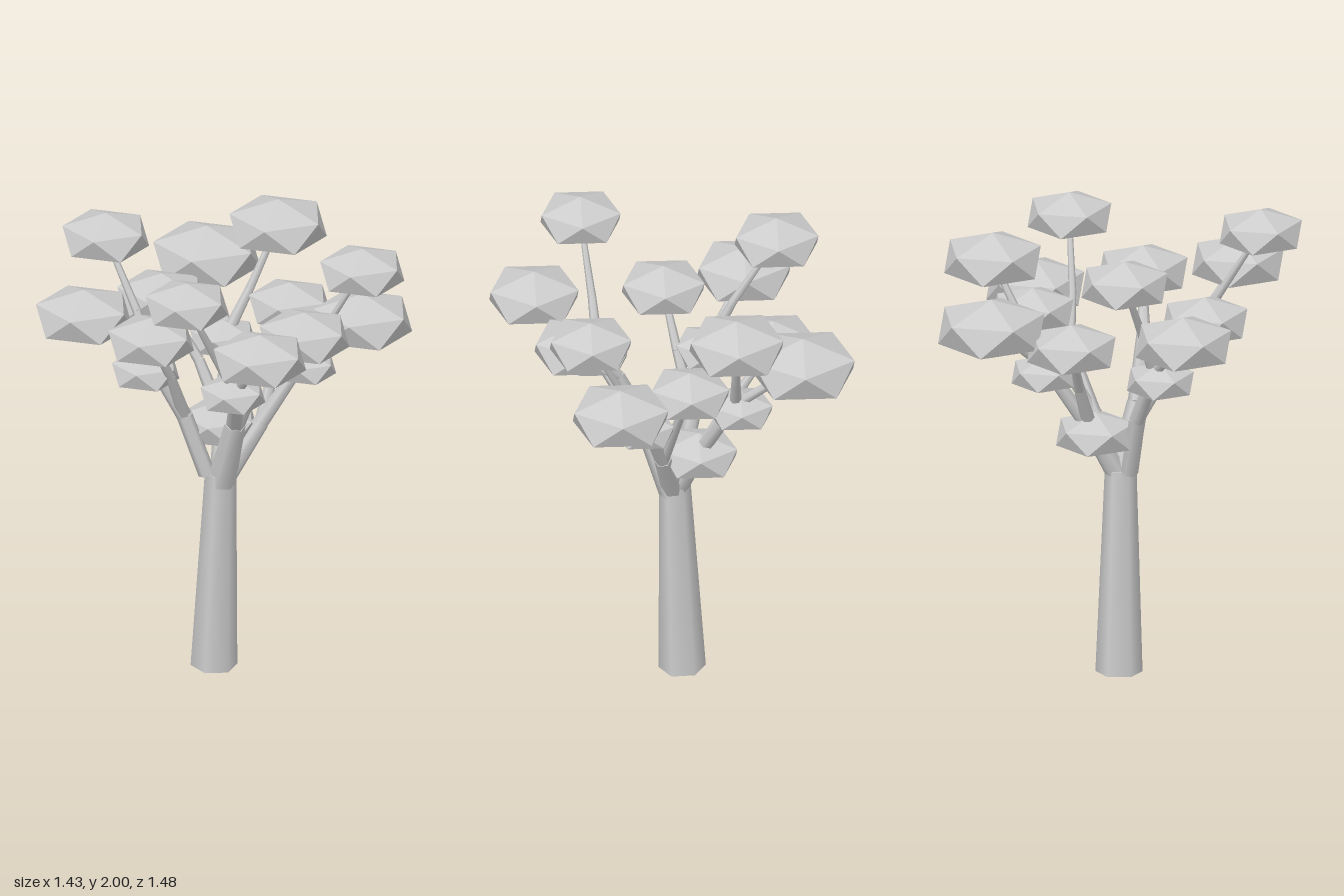
import * as THREE from 'three';
import { mergeVertices } from 'three/addons/utils/BufferGeometryUtils.js';

const grey = new THREE.MeshStandardMaterial({ color: 0xcccccc });
grey.name = 'pale grey';

// Smooth-shaded icosahedron standing on a vertex, ring radius 1, half height 1
function foliageGeometry() {
  const raw = new THREE.IcosahedronGeometry(1, 0);
  raw.deleteAttribute('normal');
  raw.deleteAttribute('uv');
  const g = mergeVertices(raw, 1e-4);
  g.rotateX(-Math.atan((1 + Math.sqrt(5)) / 2));
  g.rotateY(Math.PI / 2);
  g.scale(1 / 0.894, 1, 1 / 0.894);
  return g;
}

// Tapered six-sided limb between two points
function limb(a, b, ra, rb, name) {
  const from = new THREE.Vector3(...a), to = new THREE.Vector3(...b);
  const dir = to.clone().sub(from);
  const mesh = new THREE.Mesh(new THREE.CylinderGeometry(rb, ra, dir.length(), 6), grey);
  mesh.position.copy(from).add(to).multiplyScalar(0.5);
  mesh.quaternion.setFromUnitVectors(new THREE.Vector3(0, 1, 0), dir.normalize());
  mesh.name = name;
  return mesh;
}

export function createModel() {
  const tree = new THREE.Group();
  tree.name = 'tree';

  // Trunk
  tree.add(limb([-0.045, 0.008, -0.05], [-0.035, 0.89, -0.018], 0.098, 0.066, 'trunk'));

  // Foliage pads: x, y, z, radius
  const pads = {
    backLeftLow: [-0.51, 1.62, -0.33, 0.2],
    backLeftHigh: [-0.30, 1.88, -0.455, 0.18],
    back: [-0.03, 1.54, -0.425, 0.185],
    backRight: [0.29, 1.61, -0.535, 0.222],
    rightHigh: [0.445, 1.8, -0.25, 0.202],
    rightMiddle: [0.36, 1.53, -0.06, 0.17],
    lowCentre: [0.03, 1.06, -0.115, 0.165],
    left: [-0.42, 1.6, 0.01, 0.178],
    innerLeft: [-0.31, 1.37, -0.17, 0.14],
    innerBack: [0.18, 1.35, -0.28, 0.138],
    innerRight: [0.3, 1.33, 0.125, 0.127],
    rightLow: [0.515, 1.52, 0.235, 0.205],
    frontRightHigh: [0.42, 1.81, 0.355, 0.175],
    front: [0.09, 1.615, 0.39, 0.187],
    innerFront: [-0.215, 1.4, 0.3, 0.135],
    frontLeftHigh: [-0.495, 1.9, 0.35, 0.172],
    frontLeft: [-0.27, 1.665, 0.555, 0.192],
  };
  const padGeometry = foliageGeometry();
  Object.entries(pads).forEach(([name, [x, y, z, r]]) => {
    const pad = new THREE.Mesh(padGeometry, grey);
    pad.position.set(x, y, z);
    pad.scale.set(r, r * 0.58, r);
    pad.name = name + 'Foliage';
    tree.add(pad);
  });

  // Branch paths: points with a start and end radius
  const tip = (name) => pads[name].slice(0, 3);
  const top = [-0.035, 0.84, -0.015];
  const frontFork = [-0.05, 1.15, 0.1], frontKnee = [-0.19, 1.4, 0.29];
  const rightFork = [0.13, 1.09, 0.04], rightKnee = [0.28, 1.33, 0.11];
  const backFork = [0.05, 1.08, -0.12], backKnee = [0.19, 1.38, -0.26];
  const leftFork = [-0.16, 1.15, -0.1], leftKnee = [-0.28, 1.4, -0.17];
  const branches = [
    ['frontLimb', 0.062, 0.045, top, frontFork],
    ['frontBranch', 0.042, 0.014, frontFork, [-0.01, 1.42, 0.22], tip('front')],
    ['frontLeftBranch', 0.038, 0.026, frontFork, frontKnee],
    ['frontLeftTwig', 0.026, 0.012, frontKnee, tip('frontLeft')],
    ['frontLeftHighTwig', 0.026, 0.01, frontKnee, [-0.32, 1.61, 0.31], tip('frontLeftHigh')],
    ['rightLimb', 0.048, 0.036, top, rightFork],
    ['rightBranch', 0.034, 0.025, rightFork, rightKnee],
    ['rightLowTwig', 0.025, 0.012, rightKnee, tip('rightLow')],
    ['frontRightHighTwig', 0.023, 0.01, rightKnee, [0.33, 1.53, 0.22], tip('frontRightHigh')],
    ['rightMiddleTwig', 0.028, 0.014, rightFork, tip('rightMiddle')],
    ['backLimb', 0.048, 0.036, top, backFork],
    ['backRightBranch', 0.034, 0.026, backFork, backKnee],
    ['rightHighTwig', 0.026, 0.012, backKnee, [0.3, 1.55, -0.255], tip('rightHigh')],
    ['backRightTwig', 0.026, 0.012, backKnee, tip('backRight')],
    ['backBranch', 0.032, 0.014, backFork, [0.03, 1.3, -0.25], tip('back')],
    ['leftLimb', 0.036, 0.034, [-0.09, 0.89, -0.04], leftFork],
    ['leftBranch', 0.034, 0.026, leftFork, leftKnee],
    ['backLeftLowTwig', 0.024, 0.012, leftKnee, tip('backLeftLow')],
    ['backLeftHighTwig', 0.026, 0.011, leftKnee, [-0.28, 1.6, -0.27], tip('backLeftHigh')],
    ['leftTwig', 0.028, 0.013, leftFork, [-0.28, 1.38, -0.04], tip('left')],
  ];
  branches.forEach(([name, r0, r1, ...path]) => {
    const n = path.length - 1;
    const radius = (i) => r0 + ((r1 - r0) * i) / n;
    for (let i = 0; i < n; i++) tree.add(limb(path[i], path[i + 1], radius(i), radius(i + 1), name));
  });

  return tree;
}
